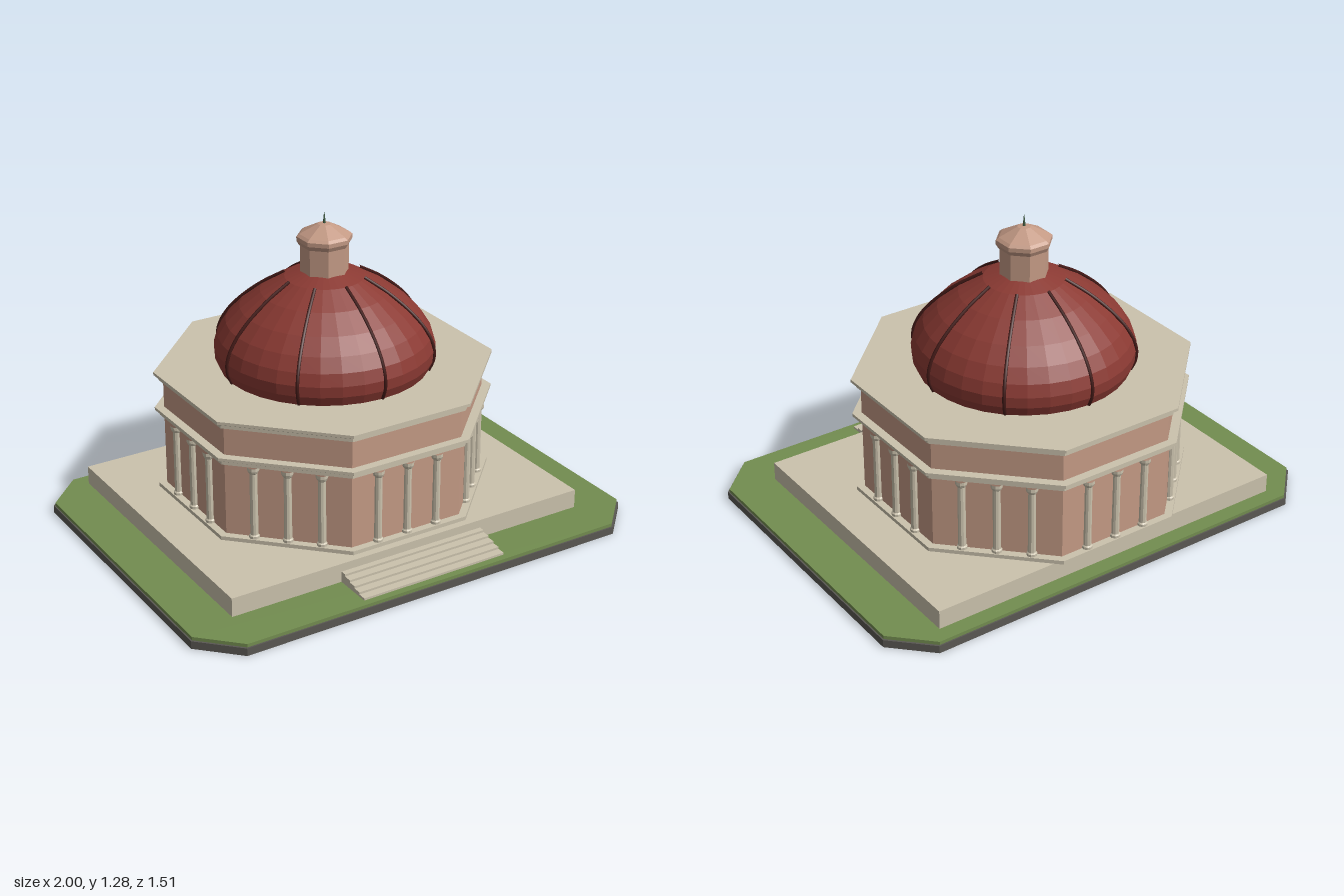
import * as THREE from 'three';

const material = (name, color) => {
  const m = new THREE.MeshStandardMaterial({ color });
  m.name = name;
  return m;
};

export function createModel() {
  const cream = material('cream stone', 0xcbc2ad);
  const pink = material('pink plaster', 0xc49a85);
  const grass = material('grass', 0x738d50);
  const slate = material('dark base', 0x5a5853);
  const red = material('red roof', 0x8b3a33);
  const maroon = material('dark ribs', 0x431a17);
  const green = material('finial green', 0x3f5a42);

  const root = new THREE.Group();
  root.name = 'domedHall';
  const hall = new THREE.Group();
  hall.name = 'hall';
  hall.position.z = -0.09;
  root.add(hall);

  const add = (parent, name, geo, mat, x = 0, y = 0, z = 0) => {
    const mesh = new THREE.Mesh(geo, mat);
    mesh.name = name;
    mesh.position.set(x, y, z);
    parent.add(mesh);
    return mesh;
  };
  const flat = (geo) => {
    const g = geo.toNonIndexed();
    g.computeVertexNormals();
    return g;
  };
  const points = (list) => list.map(([r, y]) => new THREE.Vector2(r, y));

  // Octagonal solid from [apothem, height] pairs, with a flat face to the front
  const octagon = (profile) => {
    const k = 1 / Math.cos(Math.PI / 8);
    const g = new THREE.LatheGeometry(points(profile.map(([a, y]) => [a * k, y])), 8);
    return flat(g.rotateY(Math.PI / 8));
  };

  // Chamfered ground slab
  const slab = (w, d, c, h) => {
    const s = new THREE.Shape(points([
      [-w, -d + c], [-w + c, -d], [w - c, -d], [w, -d + c],
      [w, d - c], [w - c, d], [-w + c, d], [-w, d - c],
    ]));
    return new THREE.ExtrudeGeometry(s, { depth: h, bevelEnabled: false }).rotateX(-Math.PI / 2);
  };
  add(root, 'groundBase', slab(1, 0.755, 0.15, 0.032), slate);
  add(root, 'lawn', slab(0.994, 0.749, 0.149, 0.014), grass, 0, 0.032);

  // Terrace and front steps
  add(root, 'terrace', new THREE.BoxGeometry(1.606, 0.08, 1.243), cream, 0, 0.085, -0.0625);
  for (let i = 0; i < 5; i++) {
    const h = 0.009 * (i + 1);
    const depth = 0.165 - i * 0.034;
    add(root, 'step', new THREE.BoxGeometry(0.65, h, depth), cream, 0, 0.046 + h / 2, 0.555 + depth / 2);
  }

  // Octagonal walls and mouldings
  add(hall, 'walls', octagon([[0.605, 0.125], [0.605, 0.62]]), pink);
  add(hall, 'plinth', octagon([[0.6, 0.137], [0.635, 0.137], [0.635, 0.153], [0.6, 0.153]]), cream);
  const moulding = (y) => [
    [0.6, y], [0.622, y], [0.622, y + 0.013], [0.64, y + 0.023], [0.64, y + 0.035],
  ];
  add(hall, 'entablature', octagon([...moulding(0.46), [0.6, 0.495]]), cream);
  add(hall, 'cornice', octagon([...moulding(0.614), [0, 0.649]]), cream);

  // Three columns on each of the eight faces
  const column = new THREE.LatheGeometry(points([
    [0.021, 0.153], [0.021, 0.163], [0.016, 0.168], [0.015, 0.432], [0.02, 0.437], [0.024, 0.447], [0.024, 0.46],
  ]), 10);
  const columnGeo = flat(column);
  for (let f = 0; f < 8; f++) {
    const colonnade = new THREE.Group();
    colonnade.name = 'colonnade';
    colonnade.rotation.y = f * Math.PI / 4;
    hall.add(colonnade);
    for (const x of [-0.135, 0, 0.135]) add(colonnade, 'column', columnGeo, cream, x, 0, 0.611);
  }

  // Dome with eight ribs
  const profile = [
    [0.425, 0.649], [0.443, 0.69], [0.446, 0.735], [0.431, 0.785], [0.397, 0.84],
    [0.34, 0.9], [0.257, 0.965], [0.16, 1.022], [0.09, 1.046],
  ];
  add(hall, 'dome', flat(new THREE.LatheGeometry(points(profile), 32)), red);
  const ribPath = new THREE.CatmullRomCurve3(
    profile.slice(0, 8).map(([r, y]) => new THREE.Vector3(0, y + 0.003, r + 0.002)));
  const ribGeo = new THREE.TubeGeometry(ribPath, 24, 0.007, 6);
  for (let i = 0; i < 8; i++) add(hall, 'domeRib', ribGeo, maroon).rotation.y = i * Math.PI / 4;

  // Lantern, its roof and the finial
  add(hall, 'lantern', octagon([[0.09, 1.03], [0.09, 1.16]]), pink);
  add(hall, 'lanternRoof', octagon([
    [0.085, 1.155], [0.094, 1.155], [0.103, 1.173], [0.103, 1.19], [0.092, 1.2], [0.025, 1.238], [0, 1.241],
  ]), pink);
  add(hall, 'finial', new THREE.CylinderGeometry(0.001, 0.006, 0.046, 8), green, 0, 1.262);

  return root;
}
